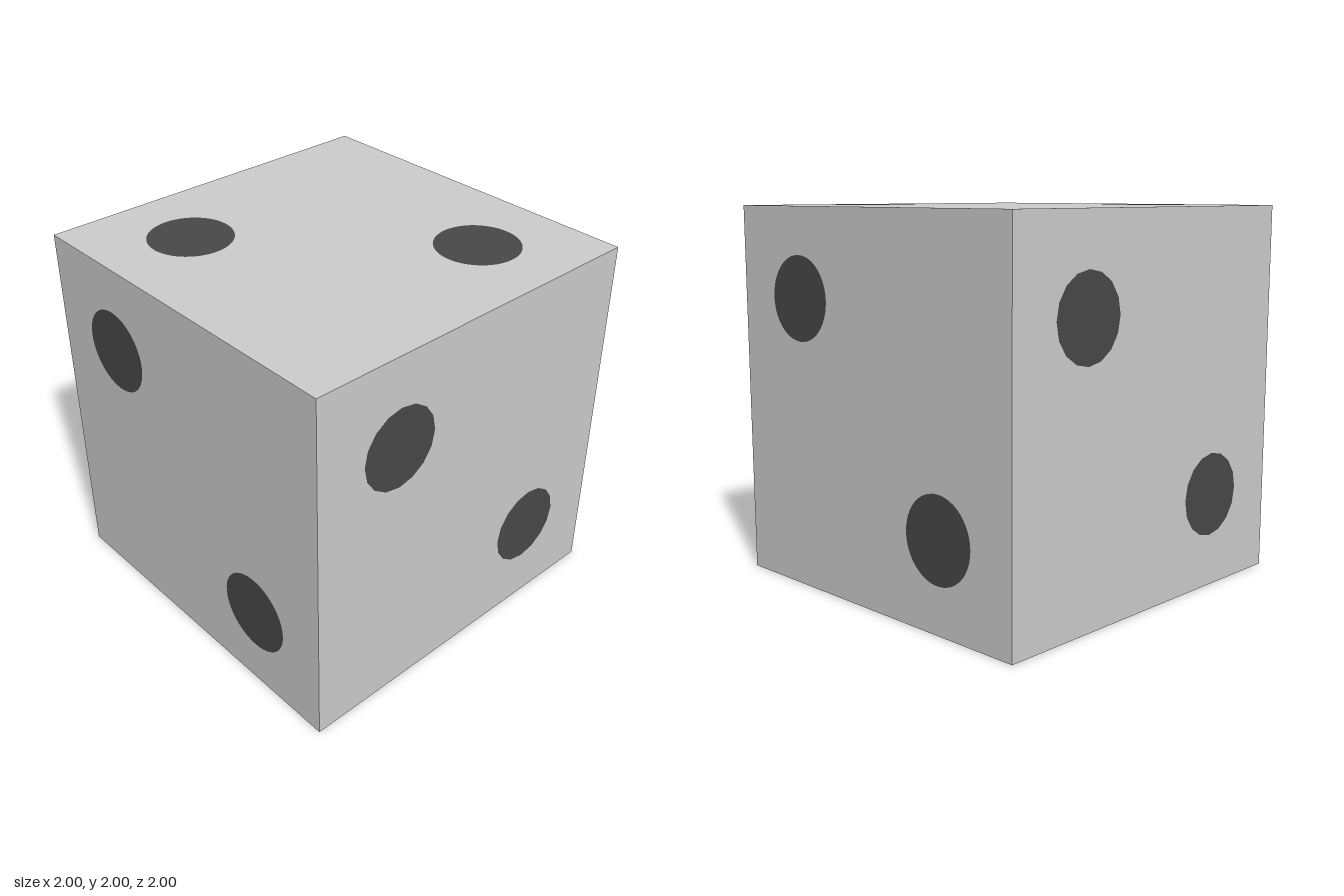
import * as THREE from 'three';

const HALF = 1;
const LIFT = 0.002; // spots stand a hair proud of the body

export function createModel() {
  const die = new THREE.Group();
  die.name = 'die';
  const bodyMat = new THREE.MeshStandardMaterial({ color: 0xcccccc });
  const spotMat = new THREE.MeshStandardMaterial({ color: 0x484848 });

  // Cube body
  const size = 2 * (HALF - LIFT);
  const body = new THREE.Mesh(new THREE.BoxGeometry(size, size, size), bodyMat);
  body.name = 'body';
  body.position.y = HALF;
  die.add(body);

  // Each face: turn about x and y, spot sides, and the two spot centres on that face
  const frontSpots = [[-0.5, 0.505], [0.495, -0.5]];
  const sideSpots = [[-0.515, 0.53], [0.515, -0.53]];
  const capSpots = [[-0.5, 0.515], [0.5, -0.515]];
  const faces = [
    { name: 'front', rx: 0, ry: 0, sides: 16, spots: frontSpots },
    { name: 'back', rx: 0, ry: Math.PI, sides: 16, spots: frontSpots },
    { name: 'left', rx: 0, ry: Math.PI / 2, sides: 48, spots: sideSpots },
    { name: 'right', rx: 0, ry: -Math.PI / 2, sides: 48, spots: sideSpots },
    { name: 'top', rx: -Math.PI / 2, ry: 0, sides: 48, spots: capSpots },
    { name: 'bottom', rx: Math.PI / 2, ry: 0, sides: 48, spots: capSpots.map(([x, y]) => [x, -y]) },
  ];

  // Two round spots on a diagonal of every face
  for (const { name, rx, ry, sides, spots } of faces) {
    const face = new THREE.Group();
    face.name = name + 'Spots';
    face.position.y = HALF;
    face.rotation.set(rx, ry, 0);
    const disc = new THREE.CircleGeometry(0.222, sides);
    spots.forEach(([x, y], i) => {
      const spot = new THREE.Mesh(disc, spotMat);
      spot.name = name + 'Spot' + (i + 1);
      spot.position.set(x, y, HALF);
      face.add(spot);
    });
    die.add(face);
  }
  return die;
}
